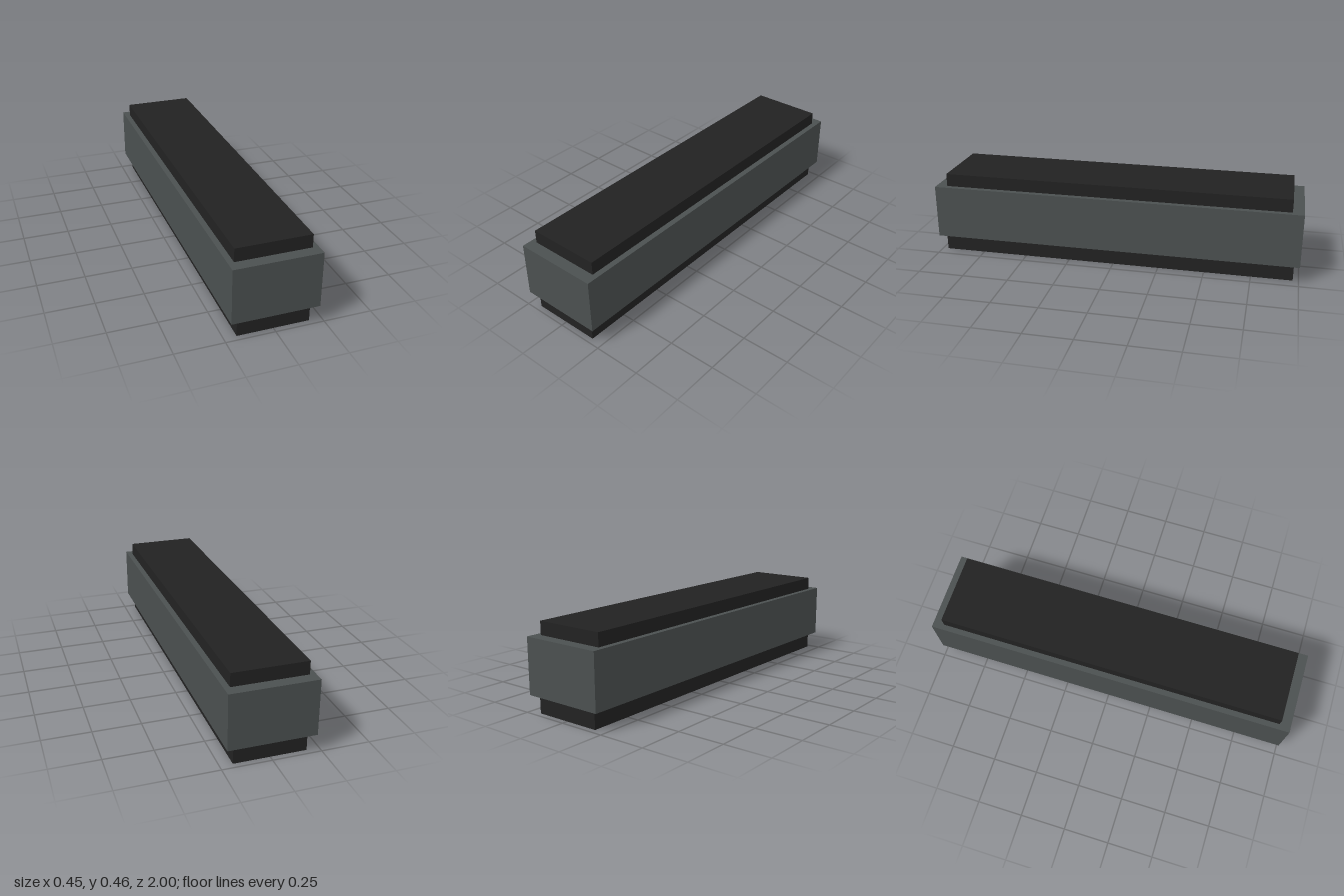
import * as THREE from 'three';

export function createModel() {
  const grey = new THREE.MeshStandardMaterial({ color: 0x4b5050 });
  grey.name = 'slate grey';
  const black = new THREE.MeshStandardMaterial({ color: 0x222222 });
  black.name = 'soft black';

  const model = new THREE.Group();
  model.name = 'steppedBlock';

  // Adds a box spanning bottom to top, centred on x and z
  const addBox = (name, width, bottom, top, depth, material) => {
    const mesh = new THREE.Mesh(new THREE.BoxGeometry(width, top - bottom, depth), material);
    mesh.name = name;
    mesh.position.y = (bottom + top) / 2;
    model.add(mesh);
  };

  addBox('base', 0.37, 0, 0.094, 1.94, black);
  addBox('body', 0.446, 0.094, 0.386, 2, grey);
  addBox('topPlate', 0.386, 0.386, 0.456, 1.88, black);

  return model;
}
